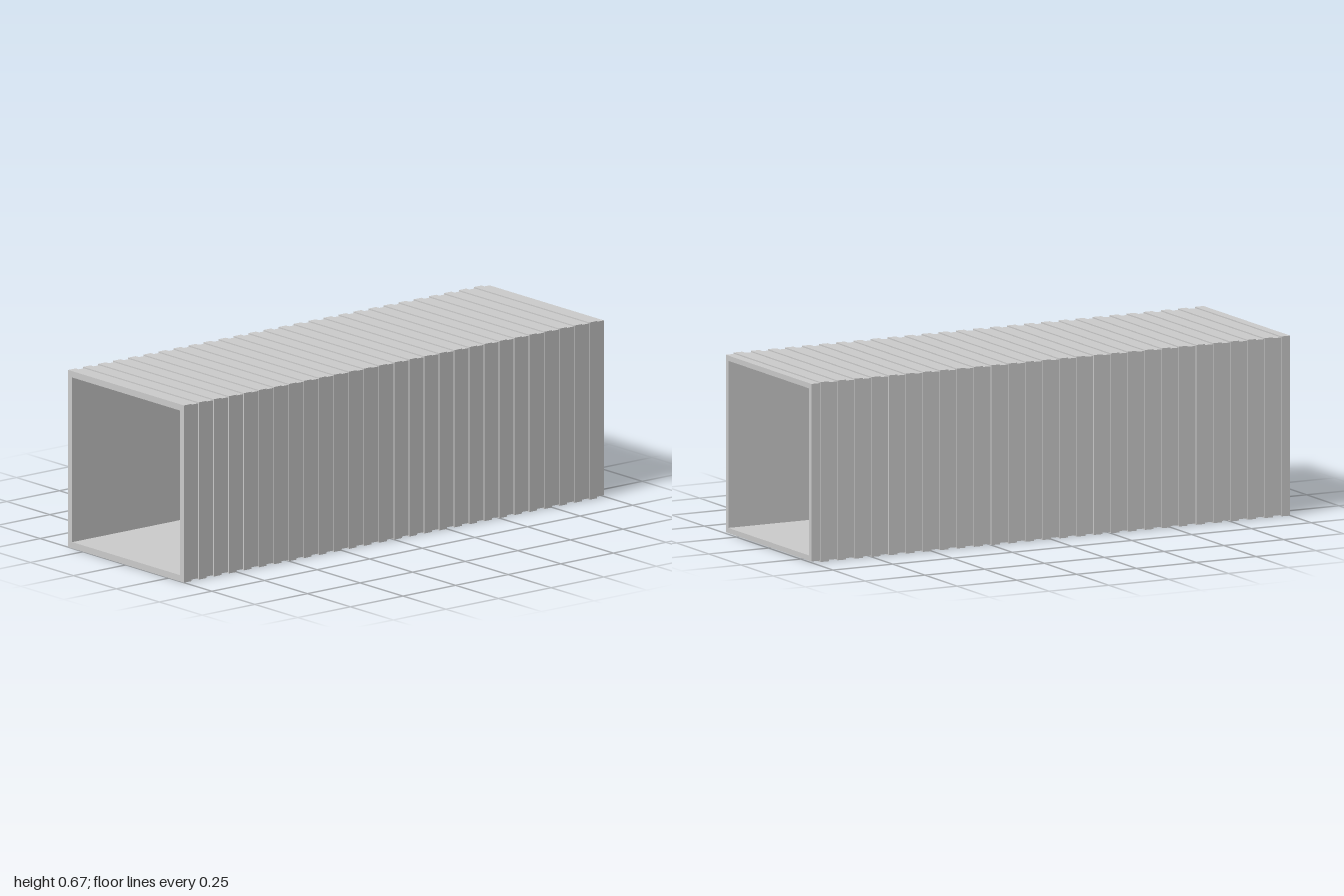
import * as THREE from 'three';

const OUTER = 0.674, CORE = 0.665, INNER = 0.626, COUNT = 28;

// Square outline of the given size, wound clockwise for holes
function trace(path, size, clockwise) {
  const h = size / 2;
  const corners = [[-h, -h], [h, -h], [h, h], [-h, h]];
  if (clockwise) corners.reverse();
  corners.forEach(([x, y], i) => (i ? path.lineTo(x, y) : path.moveTo(x, y)));
  path.closePath();
  return path;
}

// Square ring extruded along x, starting at x = 0
function squareTube(outer, inner, length) {
  const shape = trace(new THREE.Shape(), outer, false);
  shape.holes.push(trace(new THREE.Path(), inner, true));
  const geometry = new THREE.ExtrudeGeometry(shape, { depth: length, bevelEnabled: false });
  geometry.rotateY(Math.PI / 2);
  return geometry;
}

export function createModel() {
  const model = new THREE.Group();
  model.name = 'ribbedSquareTube';
  const material = new THREE.MeshStandardMaterial({ color: 0xcccccc, flatShading: true });

  // Open-ended tube that carries the ribs
  const core = new THREE.Mesh(squareTube(CORE, INNER, 2), material);
  core.name = 'tubeWall';
  core.position.set(-1, OUTER / 2, 0);
  model.add(core);

  // Shallow raised bands around all four sides, as wide as the grooves between them
  const ribs = new THREE.Group();
  ribs.name = 'ribs';
  const pitch = 2 / COUNT;
  const ribGeometry = squareTube(OUTER, CORE - 0.01, pitch / 2);
  for (let i = 0; i < COUNT; i++) {
    const rib = new THREE.Mesh(ribGeometry, material);
    rib.name = 'rib';
    rib.position.set(-1 + i * pitch, OUTER / 2, 0);
    ribs.add(rib);
  }
  model.add(ribs);
  return model;
}
